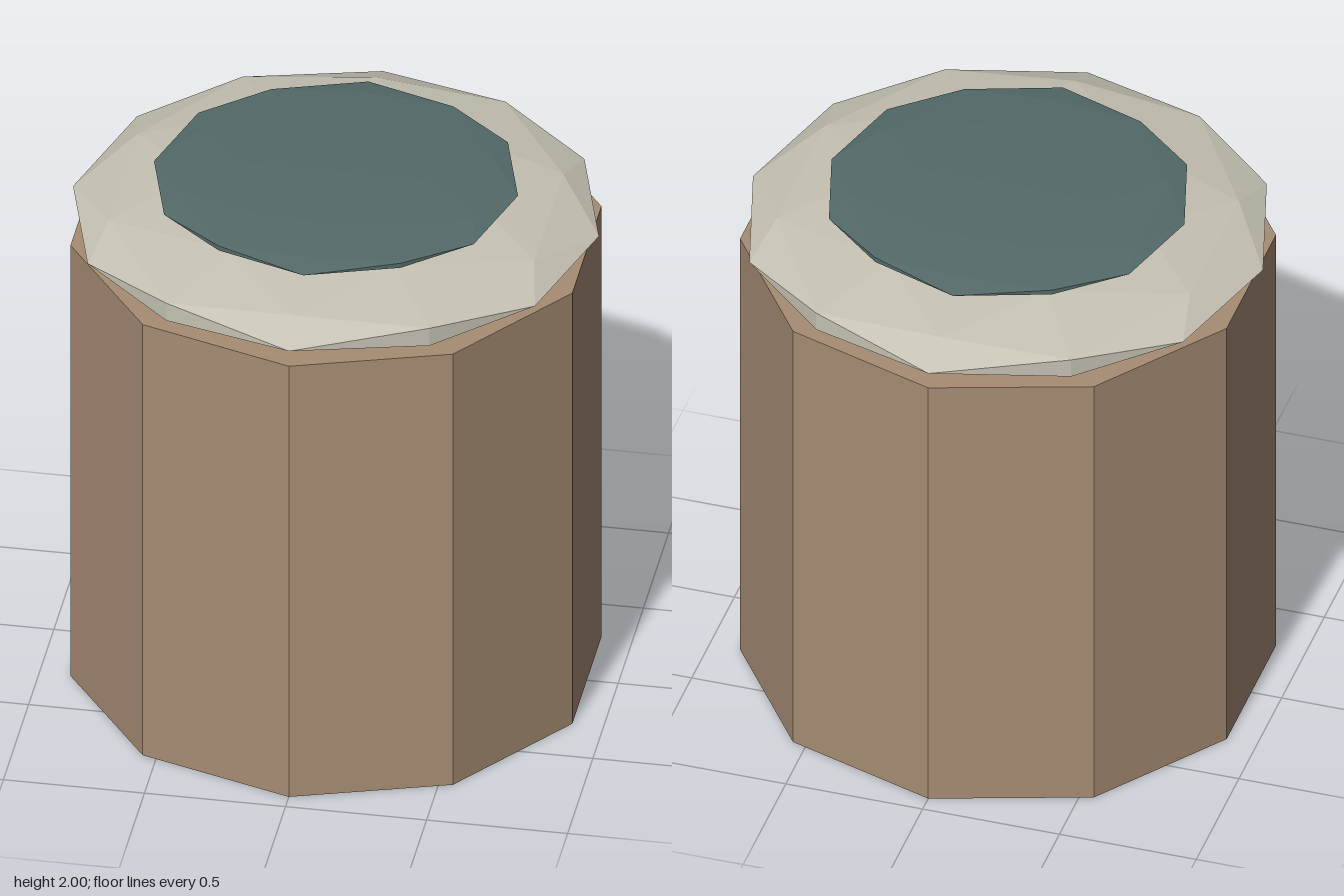
import * as THREE from 'three';

function paint(name, color) {
  const material = new THREE.MeshStandardMaterial({ color, flatShading: true });
  material.name = name;
  return material;
}

// Faceted sphere squashed into a flat disc
function flatStone(name, radius, halfHeight, y, material) {
  const geometry = new THREE.IcosahedronGeometry(1, 1);
  geometry.scale(radius, halfHeight, radius);
  const mesh = new THREE.Mesh(geometry, material);
  mesh.name = name;
  mesh.position.y = y;
  return mesh;
}

export function createModel() {
  const group = new THREE.Group();
  group.name = 'cappedPillar';

  // Ten-sided body
  const height = 1.775;
  const body = new THREE.Mesh(
    new THREE.CylinderGeometry(0.935, 0.935, height, 10),
    paint('tan', 0xa68c73)
  );
  body.name = 'body';
  body.position.y = height / 2;
  group.add(body);

  // Pale cushion and the dark disc resting on it
  group.add(flatStone('cushion', 0.932, 0.116, 1.835, paint('pale stone', 0xc6c2b4)));
  group.add(flatStone('topDisc', 0.645, 0.03, 1.97, paint('dark teal', 0x546a69)));

  return group;
}
